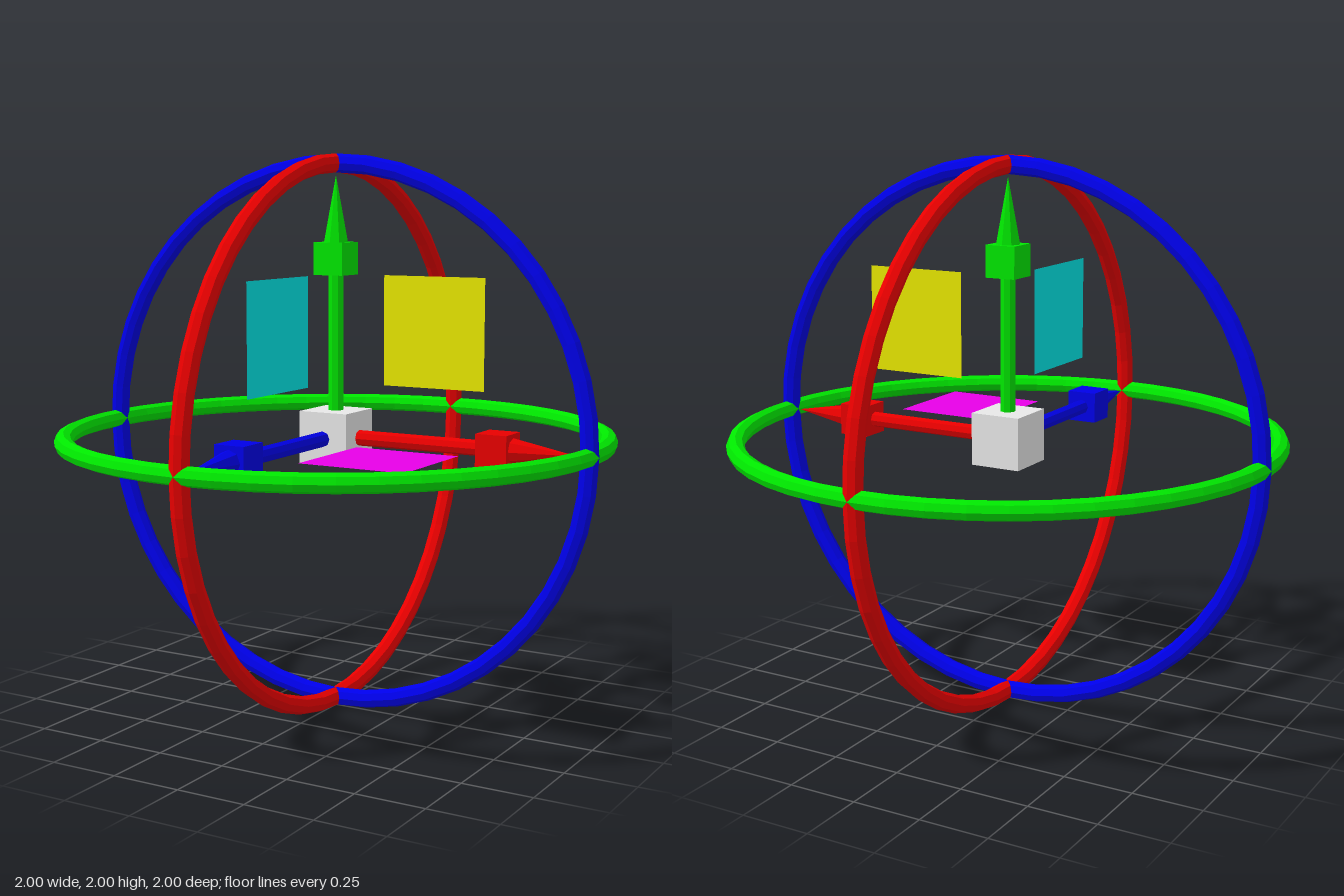
import * as THREE from 'three';

const CENTER = 1;      // height of the gizmo's middle
const TUBE = 0.033;    // ring tube radius

function material(name, color, options = {}) {
  const m = new THREE.MeshStandardMaterial({ color, flatShading: true, ...options });
  m.name = name;
  return m;
}

function addMesh(parent, name, geometry, mat, y = 0) {
  const mesh = new THREE.Mesh(geometry, mat);
  mesh.name = name;
  mesh.position.y = y;
  parent.add(mesh);
  return mesh;
}

// Arrow pointing up +y: shaft, scale box and cone tip
function makeArrow(name, mat) {
  const arrow = new THREE.Group();
  arrow.name = name;
  addMesh(arrow, 'shaft', new THREE.CylinderGeometry(0.028, 0.028, 0.5, 8), mat, 0.335);
  addMesh(arrow, 'scaleBox', new THREE.BoxGeometry(0.115, 0.115, 0.115), mat, 0.634);
  addMesh(arrow, 'tip', new THREE.ConeGeometry(0.045, 0.24, 8), mat, 0.805);
  return arrow;
}

export function createModel() {
  const model = new THREE.Group();
  model.name = 'transformGizmo';
  const root = new THREE.Group();
  root.name = 'gizmoParts';
  root.position.y = CENTER;
  model.add(root);

  const red = material('red', 0xff0000);
  const green = material('green', 0x00ff00);
  const blue = material('blue', 0x0000ff);
  const white = material('white', 0xffffff);
  const sheet = { side: THREE.DoubleSide };
  const yellow = material('yellow', 0xffff00, sheet);
  const cyan = material('cyan', 0x00ffff, sheet);
  const magenta = material('magenta', 0xff00ff, sheet);

  // Central cube
  addMesh(root, 'centerCube', new THREE.BoxGeometry(0.19, 0.19, 0.19), white);

  // One ring, arrow and square handle for each axis
  const q = Math.PI / 2;
  const axes = [
    { name: 'x', mat: red, ring: [0, q, 0], arrow: [0, 0, -q], plane: cyan, at: [0, 1, 1] },
    { name: 'y', mat: green, ring: [q, 0, 0], arrow: [0, 0, 0], plane: magenta, at: [1, 0, 1] },
    { name: 'z', mat: blue, ring: [0, 0, 0], arrow: [q, 0, 0], plane: yellow, at: [1, 1, 0] },
  ];
  const ringGeometry = new THREE.TorusGeometry(1 - TUBE, TUBE, 8, 48);
  const planeGeometry = new THREE.PlaneGeometry(0.386, 0.386);

  for (const a of axes) {
    addMesh(root, a.name + 'RotationRing', ringGeometry, a.mat).rotation.set(...a.ring);

    const arrow = makeArrow(a.name + 'Arrow', a.mat);
    arrow.rotation.set(...a.arrow);
    root.add(arrow);

    const plane = addMesh(root, a.name + 'PlaneHandle', planeGeometry, a.plane);
    plane.rotation.set(a.name === 'y' ? -q : 0, a.ring[1], 0);
    plane.position.set(...a.at).multiplyScalar(0.387);
  }
  return model;
}
